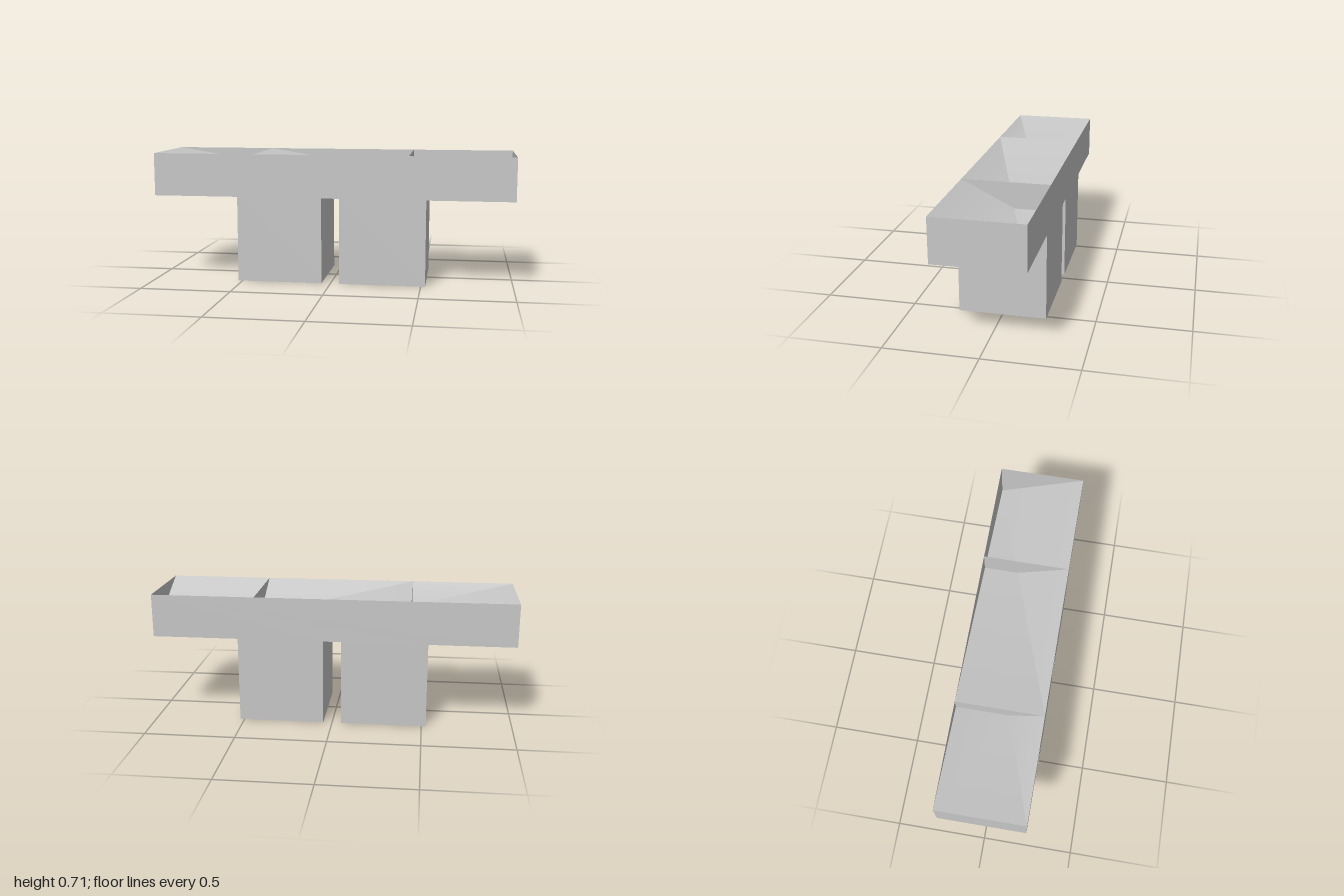
import * as THREE from 'three';

const TOP = 0.714, SLAB = 0.476, Z = 0.238;   // heights and half depth
const LEG_IN = 0.05, LEG_OUT = 0.524;         // leg extents in x
const STEP = 0.427;                           // x of the two cross walls
const FALL = 0.1667;                          // ramp drop per unit of x

const grey = new THREE.MeshStandardMaterial({ color: 0xc8c8c8, side: THREE.DoubleSide });
grey.name = 'grey';

function addMesh(group, name, geometry) {
  const mesh = new THREE.Mesh(geometry, grey);
  mesh.name = name;
  group.add(mesh);
  return mesh;
}

function surface(points, index) {
  const g = new THREE.BufferGeometry();
  g.setAttribute('position', new THREE.Float32BufferAttribute(points.flat(), 3));
  g.setIndex(index);
  g.computeVertexNormals();
  return g;
}

// cross-section of the trough floor: slope from the front edge, then a flat
const section = (x, drop) => [
  [x, TOP, Z], [x, TOP - drop, Z - 2 * drop], [x, TOP - drop, -Z],
];

// ramped floor between two cross-sections, deepening towards +x
function ramp(x0, x1) {
  const a = section(x0, 0), b = section(x1, (x1 - x0) * FALL);
  const last = x1 === 1;                      // at the end the flat narrows to nothing
  const index = [0, 3, 4, 1, 4, 2];
  if (!last) index.push(4, 5, 2);
  return surface([...a, ...b], index);
}

// upright wall across the trough, from the rim down to the floor
function crossWall(x, drop) {
  return surface([...section(x, drop), [x, TOP, -Z]], [0, 1, 3, 1, 2, 3]);
}

export function createModel() {
  const group = new THREE.Group();
  group.name = 'troughBlock';

  // outline of slab and legs, counter-clockwise from the upper left
  const outline = [
    [-1, TOP], [-1, SLAB], [-LEG_OUT, SLAB], [-LEG_OUT, 0], [-LEG_IN, 0], [-LEG_IN, SLAB],
    [LEG_IN, SLAB], [LEG_IN, 0], [LEG_OUT, 0], [LEG_OUT, SLAB], [1, SLAB], [1, TOP],
  ];

  // front and back faces
  const shape = new THREE.Shape(outline.map(([x, y]) => new THREE.Vector2(x, y)));
  addMesh(group, 'frontFace', new THREE.ShapeGeometry(shape)).position.z = Z;
  const back = addMesh(group, 'backFace', new THREE.ShapeGeometry(shape));
  back.rotation.y = Math.PI;                  // outline is symmetric in x
  back.position.z = -Z;

  // ends, undersides and leg sides; the top stays open
  const sides = new THREE.Group();
  sides.name = 'sides';
  group.add(sides);
  for (let i = 0; i < outline.length - 1; i++) {
    const [x0, y0] = outline[i], [x1, y1] = outline[i + 1];
    addMesh(sides, 'sidePanel', surface(
      [[x0, y0, Z], [x0, y0, -Z], [x1, y1, -Z], [x1, y1, Z]], [0, 1, 2, 0, 2, 3]));
  }

  // trough floors and cross walls
  addMesh(group, 'shortRamp', ramp(-1, -STEP));
  addMesh(group, 'longRamp', ramp(-STEP, 1));
  addMesh(group, 'stepWall', crossWall(-STEP, (1 - STEP) * FALL));
  addMesh(group, 'dividerWall', crossWall(STEP, 2 * STEP * FALL));

  return group;
}
